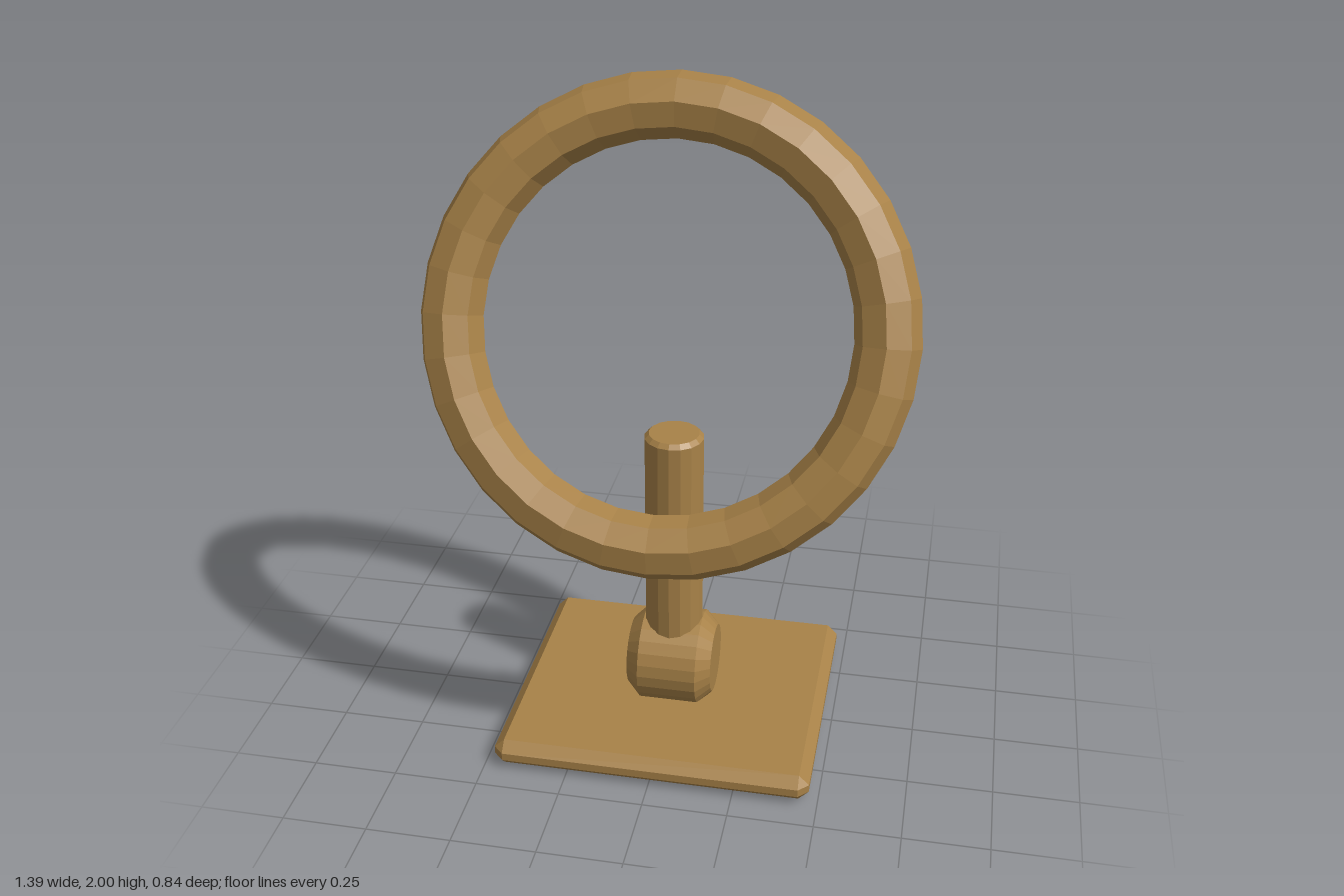
import * as THREE from 'three';
import { ConvexGeometry } from 'three/addons/geometries/ConvexGeometry.js';

const bronze = new THREE.MeshStandardMaterial({ color: 0xa88248, flatShading: true });
bronze.name = 'bronze';

function part(name, geometry) {
  const mesh = new THREE.Mesh(geometry, bronze);
  mesh.name = name;
  return mesh;
}

// Box with every edge cut at 45 degrees
function chamferedBox(w, h, d, c) {
  const half = [w / 2, h / 2, d / 2];
  const points = [];
  for (const sx of [-1, 1]) for (const sy of [-1, 1]) for (const sz of [-1, 1])
    for (let axis = 0; axis < 3; axis++) {
      // on each corner, one point per face, inset along the other two axes
      const p = half.map((v, i) => (i === axis ? v : v - c));
      points.push(new THREE.Vector3(sx * p[0], sy * p[1], sz * p[2]));
    }
  return new ConvexGeometry(points);
}

// Cylinder along y with chamfered ends
function chamferedCylinder(r, h, c, sides) {
  const profile = [[0, -h / 2], [r - c, -h / 2], [r, -h / 2 + c], [r, h / 2 - c], [r - c, h / 2], [0, h / 2]];
  return new THREE.LatheGeometry(profile.map(([x, y]) => new THREE.Vector2(x, y)), sides);
}

export function createModel() {
  const model = new THREE.Group();
  model.name = 'ringStand';

  // Base plate
  const base = part('basePlate', chamferedBox(0.946, 0.084, 0.84, 0.03));
  base.position.set(0, 0.042, -0.003);

  // Horizontal barrel at the foot of the post
  const barrel = part('pivotBarrel', chamferedCylinder(0.145, 0.26, 0.041, 24));
  barrel.rotation.z = Math.PI / 2;
  barrel.position.set(0, 0.187, -0.002);

  // Upright post
  const post = part('post', chamferedCylinder(0.088, 0.775, 0.013, 16));
  post.position.set(0, 0.575, -0.002);

  // Leaning ring with an octagonal section
  const ring = part('ring', new THREE.TorusGeometry(0.606, 0.091, 8, 32));
  ring.rotation.x = THREE.MathUtils.degToRad(-20);
  ring.position.set(0, 1.345, 0.126);

  model.add(base, barrel, post, ring);
  return model;
}
